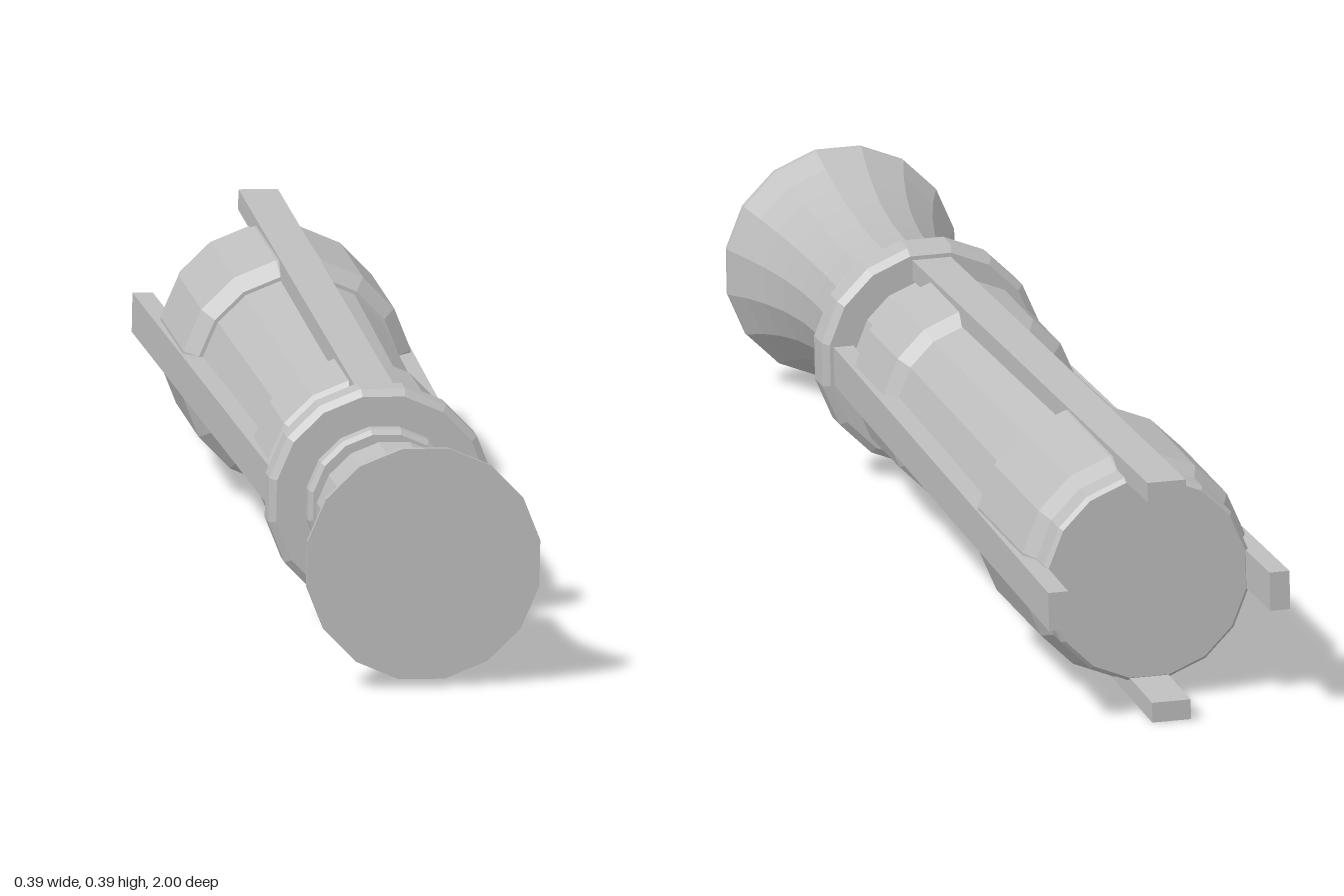
import * as THREE from 'three';

const SIDES = 16;

export function createModel() {
  const model = new THREE.Group();
  model.name = 'handle';
  const metal = new THREE.MeshStandardMaterial({ color: 0xbebebe });
  metal.name = 'grey metal';
  metal.flatShading = true;

  // All parts share one axis along z, turned very slightly about it
  const axis = new THREE.Group();
  axis.name = 'axis';
  axis.position.y = 0.195;
  axis.rotation.z = -0.02;
  model.add(axis);

  // Faceted turned part from [z, radius] pairs, listed from back to front
  function turned(name, profile) {
    const first = profile[0], last = profile[profile.length - 1];
    const pts = [[first[0], 0], ...profile, [last[0], 0]].map(([z, r]) => new THREE.Vector2(r, z));
    const geo = new THREE.LatheGeometry(pts, SIDES, Math.PI / SIDES);
    geo.rotateX(Math.PI / 2);
    const mesh = new THREE.Mesh(geo, metal);
    mesh.name = name;
    axis.add(mesh);
  }

  turned('pommel', [
    [0.625, 0.118], [0.632, 0.122], [0.7, 0.121], [0.77, 0.125],
    [0.84, 0.135], [0.9, 0.15], [0.95, 0.167], [0.99, 0.186], [1, 0.186],
  ]);
  turned('neck', [[0.5, 0.097], [0.63, 0.097]]);
  turned('collar', [[0.48, 0.112], [0.505, 0.112], [0.51, 0.122], [0.535, 0.122], [0.543, 0.115]]);
  turned('flange', [[0.435, 0.168], [0.445, 0.179], [0.49, 0.179], [0.5, 0.168]]);
  turned('gripBase', [[0.13, 0.125], [0.45, 0.125]]);
  turned('frontSleeve', [[0.13, 0.138], [0.147, 0.158], [0.32, 0.158], [0.342, 0.128]]);
  turned('shaft', [[-0.52, 0.155], [0.15, 0.138]]);
  turned('rearSleeve', [
    [-0.868, 0.161], [-0.86, 0.167], [-0.815, 0.167], [-0.785, 0.182],
    [-0.515, 0.182], [-0.49, 0.16],
  ]);

  // Four long ribs that lean outward and extend past the rear end
  const zFront = 0.43, zBack = -1;
  for (let i = 0; i < 4; i++) {
    const geo = new THREE.BoxGeometry(0.062, 0.032, zFront - zBack);
    geo.translate(0, 0, (zFront + zBack) / 2);
    const pos = geo.attributes.position;
    for (let v = 0; v < pos.count; v++) {
      const t = (zFront - pos.getZ(v)) / (zFront - zBack);
      pos.setY(v, pos.getY(v) + 0.144 + 0.034 * t);
    }
    geo.computeVertexNormals();
    const rib = new THREE.Mesh(geo, metal);
    rib.name = 'rib' + (i + 1);
    rib.rotation.z = i * Math.PI / 2;
    axis.add(rib);
  }
  return model;
}
